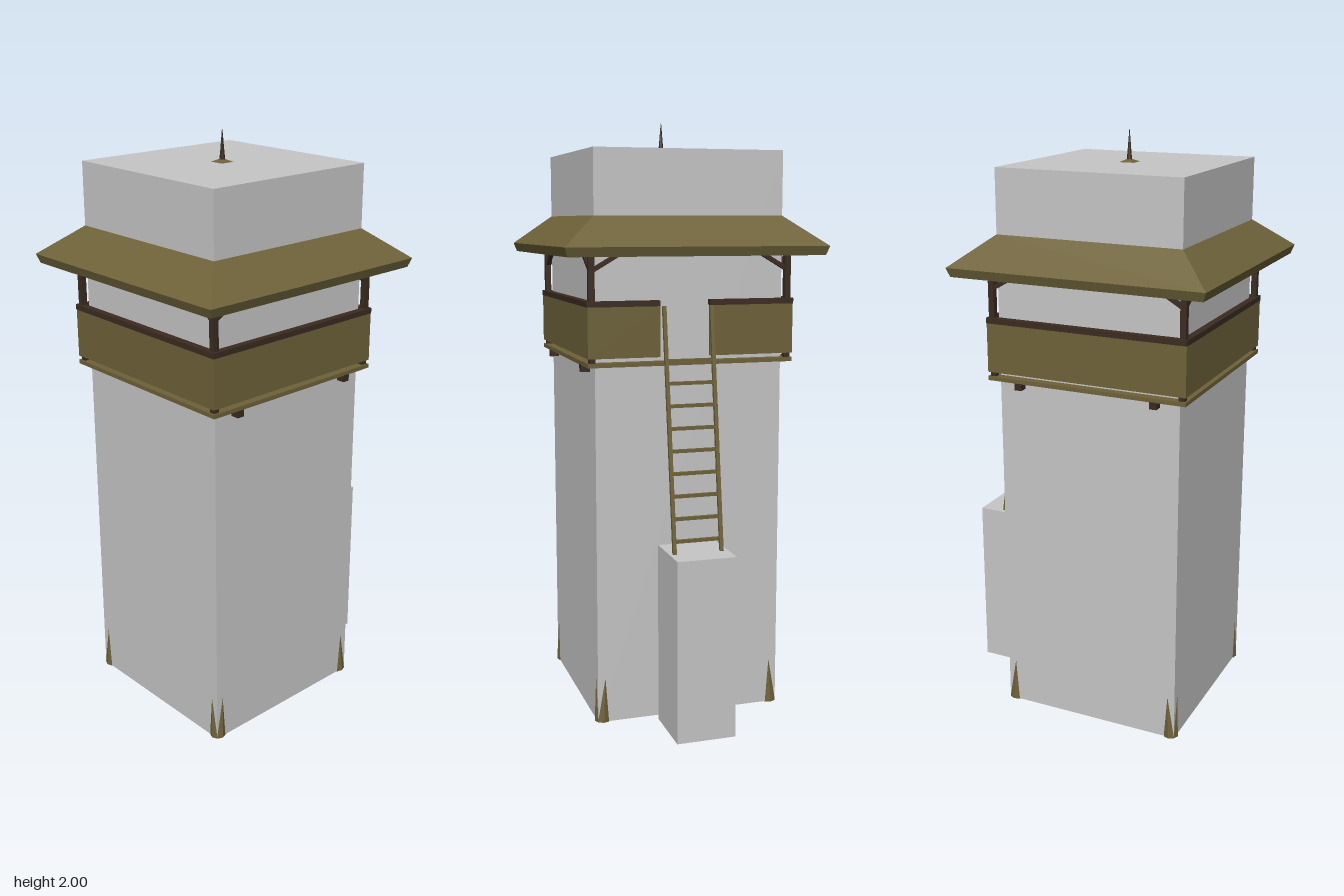
import * as THREE from 'three';

const mat = (name, color) => {
  const m = new THREE.MeshStandardMaterial({ color });
  m.name = name;
  return m;
};

export function createModel() {
  const model = new THREE.Group();
  model.name = 'watchtower';
  const grey = mat('pale grey', 0xc6c6c6);
  const wood = mat('olive wood', 0x6e6239);
  const dark = mat('dark brown wood', 0x3a2b20);

  // Everything but the ladder is centred on the tower axis
  const tower = new THREE.Group();
  tower.name = 'tower';
  tower.position.z = 0.06;
  model.add(tower);

  const add = (parent, name, geo, material, x = 0, y = 0, z = 0) => {
    const mesh = new THREE.Mesh(geo, material);
    mesh.name = name;
    mesh.position.set(x, y, z);
    parent.add(mesh);
    return mesh;
  };
  const box = (parent, name, material, w, h, d, x, y, z) =>
    add(parent, name, new THREE.BoxGeometry(w, h, d), material, x, y, z);
  const faceted = (geo) => {
    const g = geo.toNonIndexed();
    g.computeVertexNormals();
    return g;
  };
  const orient = (mesh, a, b) => {
    mesh.position.copy(a).add(b).multiplyScalar(0.5);
    mesh.quaternion.setFromUnitVectors(new THREE.Vector3(0, 1, 0), b.clone().sub(a).normalize());
  };
  // Square beam between two points
  const beam = (parent, name, material, a, b, t) => {
    const A = new THREE.Vector3(...a), B = new THREE.Vector3(...b);
    orient(box(parent, name, material, t, A.distanceTo(B), t, 0, 0, 0), A, B);
  };
  // Log between two points
  const log = (parent, name, material, a, b, r) => {
    const A = new THREE.Vector3(...a), B = new THREE.Vector3(...b);
    const geo = faceted(new THREE.CylinderGeometry(r, r, A.distanceTo(B), 8));
    orient(add(parent, name, geo, material), A, B);
  };

  // Plain blocks
  box(tower, 'towerBlock', grey, 0.64, 1.896, 0.64, 0, 0.95, 0);
  box(model, 'ladderBlock', grey, 0.2, 0.608, 0.21, 0.018, 0.306, -0.395);

  // Hipped roof with a turned-in eave; only its tip rises above the block
  const profile = [[0.32, 1.64], [0.43, 1.56], [0.44, 1.59], [0.32, 1.687], [0.024, 1.899], [0, 1.91]]
    .map(([r, y]) => new THREE.Vector2(r * Math.SQRT2, y));
  const roof = new THREE.LatheGeometry(profile, 4);
  roof.rotateY(Math.PI / 4);
  add(tower, 'roof', faceted(roof), wood);

  // Finial
  add(tower, 'finialCollar', faceted(new THREE.CylinderGeometry(0.006, 0.01, 0.04, 8)), dark, 0, 1.92, 0);
  add(tower, 'finialSpike', faceted(new THREE.CylinderGeometry(0.001, 0.006, 0.06, 8)), dark, 0, 1.97, 0);

  // Platform floor and joists
  box(tower, 'floor', wood, 0.7, 0.014, 0.7, 0, 1.214, 0);
  for (const z of [0.24, -0.24]) box(tower, 'joist', dark, 0.7, 0.024, 0.025, 0, 1.196, z);

  // Leaning legs and corner posts
  for (const sx of [-1, 1]) for (const sz of [-1, 1]) {
    log(tower, 'leg', wood, [sx * 0.302, 0, sz * 0.302], [sx * 0.24, 1.2, sz * 0.24], 0.026);
    box(tower, 'cornerPost', dark, 0.02, 0.38, 0.02, sx * 0.334, 1.4, sz * 0.334);
  }

  // Four sides: parapet, rail, eave beam and braces; the back has a gap
  for (let i = 0; i < 4; i++) {
    const side = new THREE.Group();
    side.name = 'side' + ['Front', 'Left', 'Back', 'Right'][i];
    side.rotation.y = i * Math.PI / 2;
    tower.add(side);
    // Spans are mirrored in x on the back
    const spans = i === 2 ? [[-0.35, -0.11], [0.06, 0.35]] : [[-0.35, 0.35]];
    for (const [a, b] of spans) {
      box(side, 'parapet', wood, b - a, 0.165, 0.012, (a + b) / 2, 1.318, 0.344);
      box(side, 'handrail', dark, b - a, 0.018, 0.024, (a + b) / 2, 1.409, 0.34);
    }
    box(side, 'eaveBeam', dark, 0.68, 0.018, 0.018, 0, 1.585, 0.334);
    for (const s of [-1, 1])
      beam(side, 'brace', dark, [s * 0.33, 1.515, 0.334], [s * 0.21, 1.585, 0.334], 0.014);
  }

  // Ladder leaning on the gap
  const ladder = new THREE.Group();
  ladder.name = 'ladder';
  model.add(ladder);
  const zAt = (y) => -0.3 - (1.4 - y) * 0.143;
  for (const x of [-0.06, 0.1])
    beam(ladder, 'ladderRail', wood, [x, 0.05, zAt(0.05)], [x, 1.4, zAt(1.4)], 0.012);
  for (let y = 0.65; y < 1.26; y += 0.072)
    box(ladder, 'rung', wood, 0.16, 0.011, 0.011, 0.02, y, zAt(y));

  return model;
}
